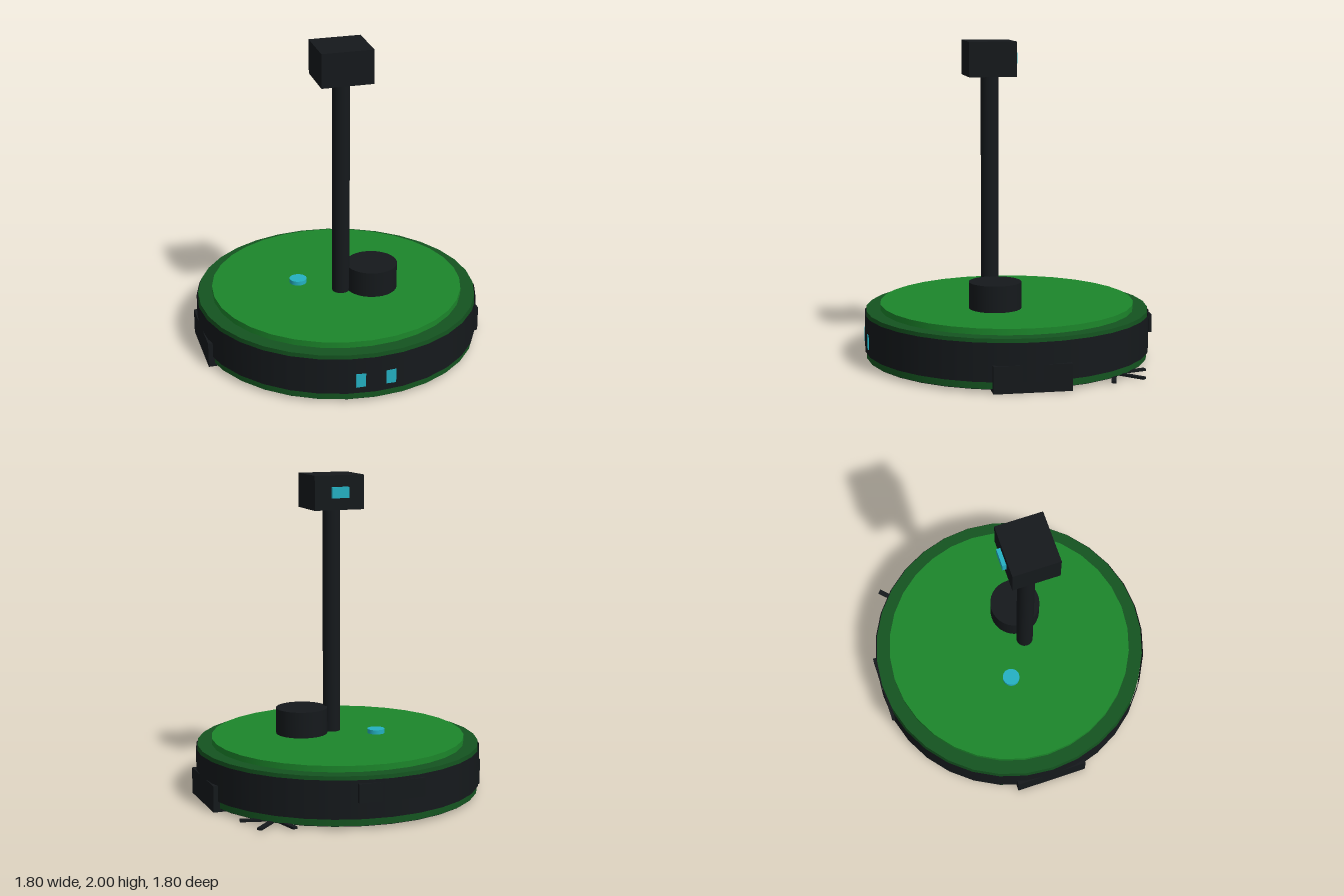
import * as THREE from 'three';

const material = (color) => new THREE.MeshStandardMaterial({ color });

export function createModel() {
  const model = new THREE.Group();
  const green = material(0x1c862b);
  const darkGreen = material(0x145420);
  const black = material(0x15191c);
  const cyan = material(0x24b0c2);

  function add(name, geometry, mat, x, y, z, parent = model) {
    const mesh = new THREE.Mesh(geometry, mat);
    mesh.name = name;
    mesh.position.set(x, y, z);
    parent.add(mesh);
    return mesh;
  }
  // Box given by its size, cylinder by radius and height; both centred on x, z and spanning y0 to y1
  const box = (name, mat, w, d, x, y0, y1, z) =>
    add(name, new THREE.BoxGeometry(w, y1 - y0, d), mat, x, (y0 + y1) / 2, z);
  const cylinder = (name, mat, r, x, y0, y1, z, open = false) =>
    add(name, new THREE.CylinderGeometry(r, r, y1 - y0, 32, 1, open), mat, x, (y0 + y1) / 2, z);

  // Round body with its bumper band, lid and underside
  cylinder('body', darkGreen, 0.89, 0, 0.022, 0.322, 0);
  const bumper = cylinder('bumperBand', black, 0.9, 0, 0.065, 0.3, 0, true);
  bumper.material = black.clone();
  bumper.material.side = THREE.DoubleSide;
  cylinder('topPlate', green, 0.8, 0, 0.32, 0.36, 0);
  cylinder('underside', black, 0.885, 0, 0.018, 0.03, 0);

  // Front sensor bar, showing through the band as two windows
  box('frontSensor', cyan, 0.25, 0.03, 0, 0.105, 0.195, 0.8787);

  // Rear panel
  box('rearPanel', black, 0.42, 0.02, 0, 0.165, 0.28, -0.884);

  // Drive wheel housings
  for (const side of [1, -1]) {
    box(side > 0 ? 'leftWheel' : 'rightWheel', black, 0.1, 0.47, side * 0.844, 0, 0.165, 0);
  }

  // Six-armed side brush
  const brush = new THREE.Group();
  brush.name = 'sideBrush';
  brush.position.set(0.61, 0.018, -0.555);
  for (let i = 0; i < 3; i++) {
    const arm = add('brushArm', new THREE.BoxGeometry(0.42, 0.014, 0.03), black, 0, 0, 0, brush);
    arm.rotation.y = Math.PI / 4 + (i * Math.PI) / 3;
  }
  model.add(brush);

  // Scanner turret and button on the lid
  cylinder('turret', black, 0.163, 0.203, 0.355, 0.525, 0.108);
  cylinder('button', cyan, 0.055, -0.237, 0.355, 0.387, -0.066);

  // Mast with camera head, lens facing the rear
  cylinder('mast', black, 0.055, 0, 0.355, 1.8, 0.108);
  box('cameraHead', black, 0.326, 0.295, 0, 1.785, 2, 0.112);
  box('cameraLens', cyan, 0.11, 0.04, 0, 1.86, 1.928, -0.04);

  return model;
}
